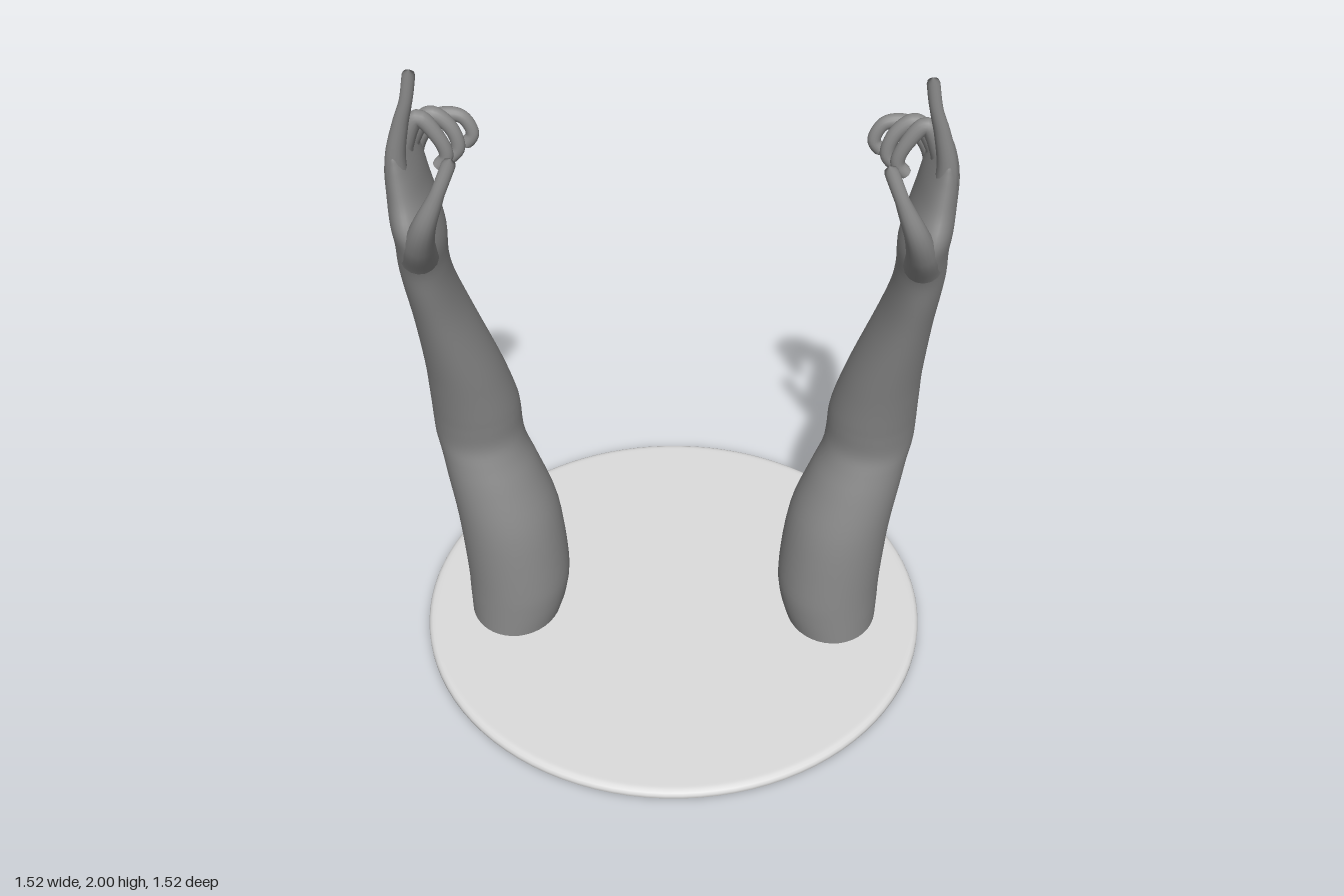
import * as THREE from 'three';

const skin = new THREE.MeshStandardMaterial({ color: 0x8a8a8a });
skin.name = 'arm grey';
const pale = new THREE.MeshStandardMaterial({ color: 0xdcdcdc });
pale.name = 'base pale grey';

// Arm and palm cross-sections: y, inner x, outer x, back z, front z
const SECTIONS = [
  [0.01, 0.357, 0.624, -0.138, 0.175],
  [0.1, 0.33, 0.627, -0.153, 0.176],
  [0.2, 0.322, 0.63, -0.167, 0.175],
  [0.4, 0.345, 0.646, -0.176, 0.165],
  [0.55, 0.395, 0.668, -0.163, 0.138],
  [0.64, 0.43, 0.682, -0.156, 0.116],
  [0.7, 0.441, 0.694, -0.156, 0.104],
  [0.77, 0.444, 0.696, -0.158, 0.114],
  [0.82, 0.45, 0.695, -0.147, 0.124],
  [0.9, 0.466, 0.693, -0.12, 0.141],
  [1.0, 0.49, 0.691, -0.085, 0.165],
  [1.2, 0.545, 0.696, -0.018, 0.216],
  [1.33, 0.57, 0.702, 0.043, 0.254],
  [1.42, 0.576, 0.705, 0.076, 0.281],
  [1.5, 0.574, 0.702, 0.066, 0.318],
  [1.57, 0.588, 0.707, 0.053, 0.333],
  [1.64, 0.608, 0.711, 0.049, 0.307],
  [1.7, 0.622, 0.711, 0.051, 0.294],
  [1.745, 0.636, 0.702, 0.068, 0.286],
  [1.775, 0.65, 0.69, 0.11, 0.272],
  [1.782, 0.669, 0.671, 0.19, 0.2],
];

// Fingers: path points, root radius, tip radius
const FINGERS = {
  indexFinger: [[[0.67, 1.66, 0.25], [0.668, 1.76, 0.256], [0.648, 1.85, 0.26], [0.627, 1.92, 0.264], [0.612, 2.0, 0.265]], 0.032, 0.016],
  middleFinger: [[[0.672, 1.67, 0.19], [0.656, 1.765, 0.195], [0.617, 1.833, 0.195], [0.575, 1.785, 0.193], [0.556, 1.725, 0.19], [0.585, 1.69, 0.19]], 0.03, 0.018],
  ringFinger: [[[0.672, 1.66, 0.135], [0.65, 1.745, 0.132], [0.598, 1.808, 0.13], [0.552, 1.775, 0.13], [0.535, 1.715, 0.132], [0.566, 1.68, 0.135]], 0.029, 0.018],
  littleFinger: [[[0.67, 1.63, 0.088], [0.643, 1.715, 0.08], [0.585, 1.772, 0.07], [0.53, 1.768, 0.068], [0.506, 1.72, 0.07], [0.532, 1.686, 0.073]], 0.029, 0.017],
  thumb: [[[0.635, 1.47, 0.255], [0.622, 1.54, 0.305], [0.6, 1.61, 0.332], [0.565, 1.69, 0.331], [0.523, 1.79, 0.315]], 0.05, 0.018],
};

// Smooth loft through the elliptical arm sections; side is 1 or -1
function armGeometry(side) {
  const curve = (f) => new THREE.CatmullRomCurve3(SECTIONS.map(f), false, 'catmullrom');
  const centre = curve(([y, x0, x1, z0, z1]) => new THREE.Vector3(side * (x0 + x1) / 2, y, (z0 + z1) / 2));
  const radius = curve(([, x0, x1, z0, z1]) => new THREE.Vector3((x1 - x0) / 2, 0, (z1 - z0) / 2));
  const rings = (SECTIONS.length - 1) * 4, n = 40;
  const positions = [], index = [];
  for (let i = 0; i <= rings; i++) {
    const c = centre.getPoint(i / rings), r = radius.getPoint(i / rings);
    for (let j = 0; j < n; j++) {
      const a = (j / n) * Math.PI * 2;
      positions.push(c.x + r.x * Math.cos(a), c.y, c.z + r.z * Math.sin(a));
      if (i === rings) continue;
      const k = i * n + j, next = i * n + (j + 1) % n;
      index.push(k, k + n, next, k + n, next + n, next);
    }
  }
  const geometry = new THREE.BufferGeometry();
  geometry.setAttribute('position', new THREE.Float32BufferAttribute(positions, 3));
  geometry.setIndex(index);
  geometry.computeVertexNormals();
  return geometry;
}

// Tube that tapers along its path and ends in a rounded tip
function fingerGeometry(points, rootRadius, tipRadius, side) {
  const path = new THREE.CatmullRomCurve3(points.map(([x, y, z]) => new THREE.Vector3(side * x, y, z)));
  const steps = 48, sides = 16;
  const geometry = new THREE.TubeGeometry(path, steps, 1, sides, false);
  const pos = geometry.attributes.position, v = new THREE.Vector3();
  const length = path.getLength();
  for (let i = 0; i <= steps; i++) {
    const t = i / steps, c = path.getPointAt(t);
    const toTip = Math.min(1, (1 - t) * length / tipRadius);
    const taper = THREE.MathUtils.lerp(rootRadius, tipRadius, Math.min(1, t * 1.35));
    const r = taper * Math.sqrt(Math.max(0.0004, 1 - (1 - toTip) ** 2));
    for (let j = 0; j <= sides; j++) {
      const k = i * (sides + 1) + j;
      v.fromBufferAttribute(pos, k).sub(c).multiplyScalar(r).add(c);
      pos.setXYZ(k, v.x, v.y, v.z);
    }
  }
  return geometry;
}

function createArm(side) {
  const arm = new THREE.Group();
  arm.name = side > 0 ? 'leftArm' : 'rightArm';
  const add = (geometry, name) => {
    const mesh = new THREE.Mesh(geometry, skin);
    mesh.name = name;
    arm.add(mesh);
  };
  add(armGeometry(side), 'armAndPalm');
  for (const [name, [points, root, tip]] of Object.entries(FINGERS)) {
    add(fingerGeometry(points, root, tip, side), name);
  }
  return arm;
}

export function createModel() {
  const model = new THREE.Group();
  model.name = 'raisedArms';

  // Round base with softened rim
  const profile = [[0, 0], [0.745, 0], [0.755, 0.001], [0.76, 0.007], [0.76, 0.016],
    [0.756, 0.024], [0.748, 0.029], [0.738, 0.03], [0.73, 0.03], [0, 0.03]];
  const base = new THREE.Mesh(
    new THREE.LatheGeometry(profile.map(([x, y]) => new THREE.Vector2(x, y)), 96), pale);
  base.name = 'base';
  model.add(base, createArm(1), createArm(-1));
  return model;
}
